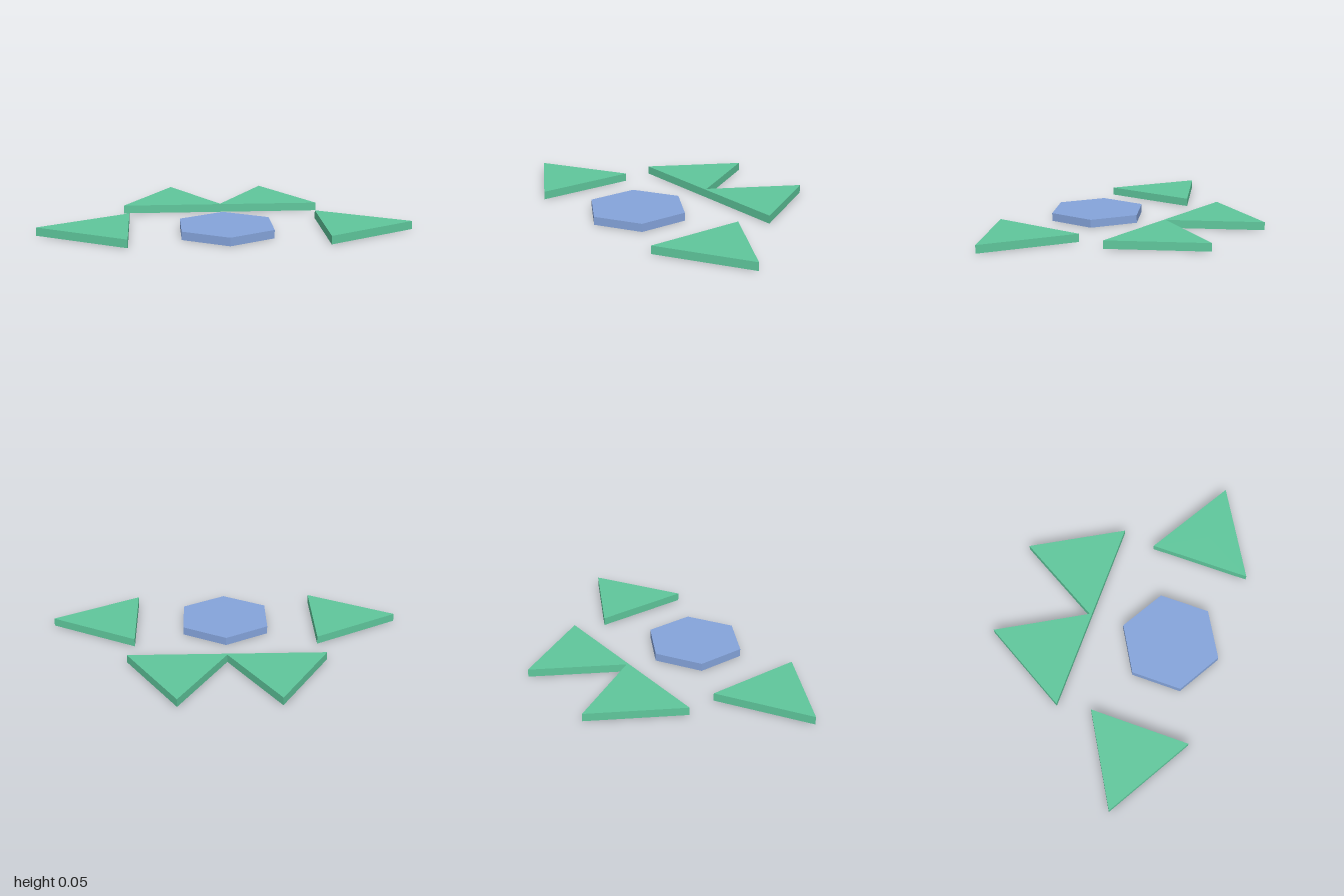
import * as THREE from 'three';

const T = 0.045;       // slab thickness
const R_TRI = 0.322;   // triangle circumradius
const R_HEX = 0.279;   // hexagon circumradius, also half a triangle's side

export function createModel() {
  const group = new THREE.Group();
  const green = new THREE.MeshStandardMaterial({ color: 0x5fc79c, flatShading: true });
  const blue = new THREE.MeshStandardMaterial({ color: 0x85a4db, flatShading: true });

  const add = (name, geometry, material, x = 0, y = 0, z = 0) => {
    const mesh = new THREE.Mesh(geometry, material);
    mesh.name = name;
    mesh.position.set(x, y, z);
    group.add(mesh);
  };

  // Regular slab whose first corner points along the given angle from +z
  const slab = (radius, sides, angle = 0) =>
    new THREE.CylinderGeometry(radius, radius, T, sides, 1, false, angle);

  // Central hexagon, corners front and back
  add('hexagon', slab(R_HEX, 6), blue, 0, T / 2, 0.335);

  // Side triangles pointing outward
  for (const [name, s] of [['leftTriangle', 1], ['rightTriangle', -1]]) {
    add(name, slab(R_TRI, 3, s * Math.PI / 2), green, s * (1 - R_TRI), T / 2, 0.335);
  }

  // Two back triangles joined at their inner corners (shape y becomes -z)
  const peakX = 0.272, baseY = 0.132, peakY = baseY + 1.5 * R_TRI;
  const notchY = baseY + (R_HEX - peakX) * Math.sqrt(3);
  const pair = new THREE.Shape([
    [-peakX - R_HEX, baseY], [peakX + R_HEX, baseY], [peakX, peakY],
    [0, notchY], [-peakX, peakY],
  ].map(([x, y]) => new THREE.Vector2(x, y)));
  const pairGeometry = new THREE.ExtrudeGeometry(pair, { depth: T, bevelEnabled: false });
  pairGeometry.rotateX(-Math.PI / 2);
  add('backTriangles', pairGeometry, green);

  return group;
}
